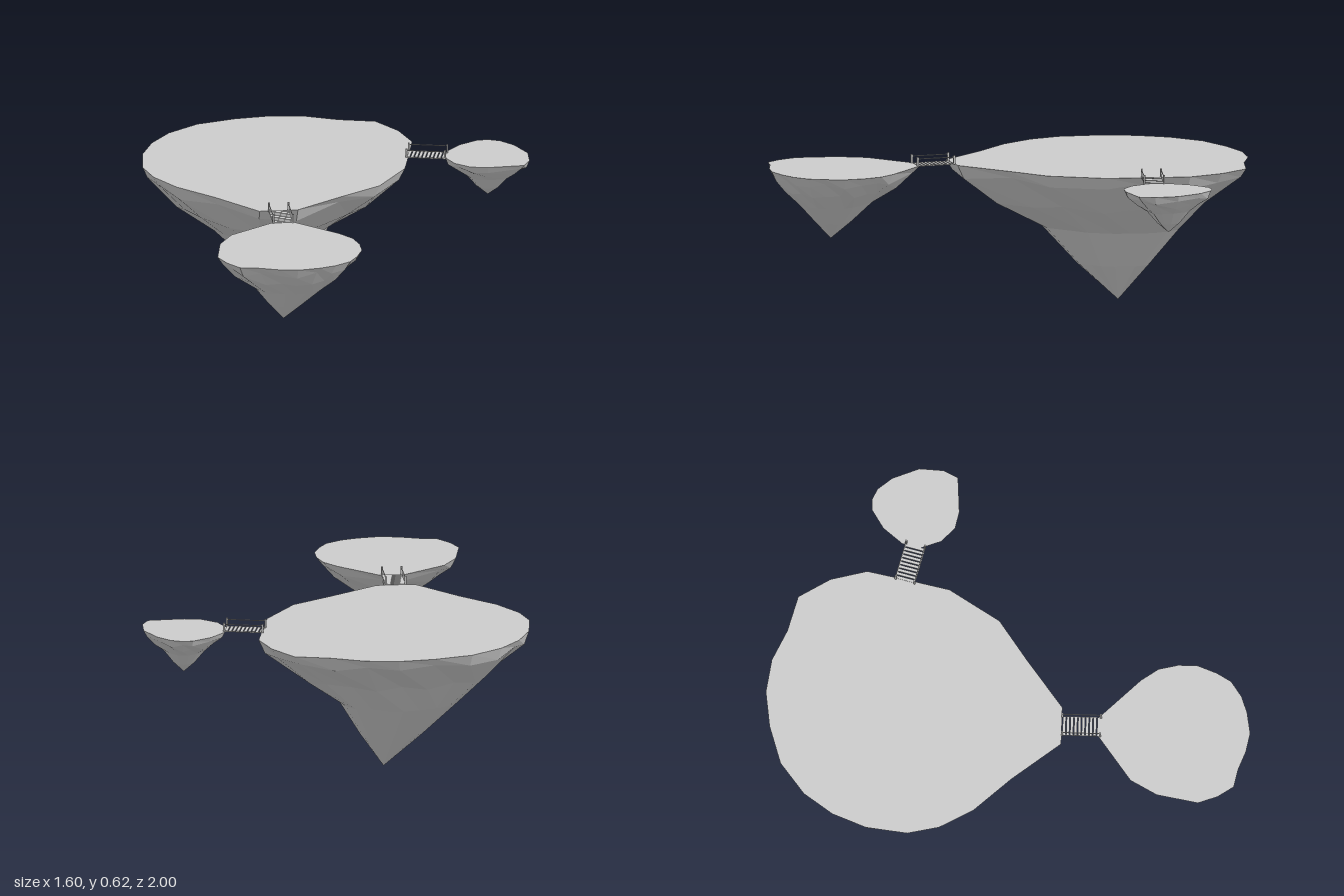
import * as THREE from 'three';

const TOP = 0.585;
const stone = new THREE.MeshStandardMaterial({ color: 0xcccccc, flatShading: true, side: THREE.DoubleSide });
const wood = new THREE.MeshStandardMaterial({ color: 0xcccccc, flatShading: true });

// Floating rock: flat outline [x, z] on top, shrinking rings [y, scale, shiftX, shiftZ, jitter], then a point
function island(name, outline, apex, rings) {
  const [ax, ay, az] = apex, n = outline.length;
  const loops = [outline.map(([x, z]) => [x, TOP, z])];
  rings.forEach(([y, s, dx, dz, jitter = 0], k) => loops.push(outline.map(([x, z], i) => [
    ax + (x - ax) * s + dx,
    y + jitter * Math.sin(i * 2.3 + k * 1.7),
    az + (z - az) * s + dz,
  ])));
  const pos = [];
  const tri = (...corners) => corners.forEach((c) => pos.push(...c));
  const last = loops[loops.length - 1];
  for (let i = 0; i < n; i++) {
    const j = (i + 1) % n;
    tri([ax, TOP, az], loops[0][j], loops[0][i]);
    for (let k = 0; k + 1 < loops.length; k++) {
      const a = loops[k], b = loops[k + 1];
      tri(a[i], a[j], b[i]);
      tri(a[j], b[j], b[i]);
    }
    tri(last[i], last[j], apex);
  }
  const geo = new THREE.BufferGeometry();
  geo.setAttribute('position', new THREE.Float32BufferAttribute(pos, 3));
  geo.computeVertexNormals();
  const mesh = new THREE.Mesh(geo, stone);
  mesh.name = name;
  return mesh;
}

// Plank bridge with corner posts and hand rails, from one [x, z] to another
function bridge(name, from, to, planks) {
  const group = new THREE.Group();
  group.name = name;
  const dx = to[0] - from[0], dz = to[1] - from[1], length = Math.hypot(dx, dz), width = 0.08;
  const box = (part, w, h, d, x, y, z) => {
    const mesh = new THREE.Mesh(new THREE.BoxGeometry(w, h, d), wood);
    mesh.name = part;
    mesh.position.set(x, y, z);
    group.add(mesh);
  };
  const step = length / planks;
  for (let i = 0; i < planks; i++) {
    box('plank', width, 0.004, step * 0.75, 0, 0, (i + 0.5) * step - length / 2);
  }
  for (const side of [-1, 1]) {
    const x = side * width / 2;
    box('handRail', 0.003, 0.003, length, x, 0.029, 0);
    box('deckRope', 0.003, 0.003, length, x, -0.001, 0);
    for (const end of [-1, 1]) box('post', 0.007, 0.038, 0.007, x, 0.017, end * length / 2);
  }
  group.position.set((from[0] + to[0]) / 2, TOP, (from[1] + to[1]) / 2);
  group.rotation.y = Math.atan2(dx, dz);
  return group;
}

export function createModel() {
  const model = new THREE.Group();
  model.name = 'floatingIslands';

  model.add(island('mainIsland', [
    [-0.2, -1], [-0.06, -0.98], [0.07, -0.92], [0.22, -0.88], [0.3, -0.75], [0.34, -0.6], [0.3, -0.4],
    [0.27, -0.26], [0.14, -0.05], [-0.03, 0.07], [-0.23, 0.22], [-0.39, 0.22], [-0.55, 0.02],
    [-0.69, -0.13], [-0.77, -0.27], [-0.8, -0.4], [-0.78, -0.57], [-0.725, -0.71], [-0.64, -0.83],
    [-0.51, -0.93], [-0.35, -0.98],
  ], [-0.19, 0, -0.46], [
    [0.54, 0.96, -0.005, 0, 0.015], [0.42, 0.72, -0.03, 0.015, 0.012],
    [0.3, 0.455, -0.05, -0.025], [0.15, 0.24, -0.025, -0.007],
  ]));

  model.add(island('frontIsland', [
    [-0.35, 0.37], [-0.27, 0.37], [-0.1, 0.54], [-0.05, 0.61], [-0.03, 0.69], [-0.03, 0.77],
    [-0.06, 0.85], [-0.095, 0.91], [-0.16, 0.955], [-0.23, 0.98], [-0.32, 0.995], [-0.4, 0.98],
    [-0.48, 0.95], [-0.555, 0.935], [-0.6, 0.87], [-0.63, 0.79], [-0.6, 0.62], [-0.54, 0.51],
  ], [-0.35, 0.29, 0.73], [
    [0.55, 0.92, 0, 0, 0.01], [0.5, 0.75, 0.005, 0.008, 0.006],
    [0.44, 0.49, 0.015, 0.015], [0.36, 0.24, 0.005, 0.005],
  ]));

  model.add(island('smallIsland', [
    [0.61, -0.59], [0.655, -0.59], [0.7, -0.57], [0.75, -0.51], [0.795, -0.4], [0.79, -0.3],
    [0.76, -0.24], [0.61, -0.23], [0.54, -0.245], [0.48, -0.3], [0.45, -0.38], [0.465, -0.46], [0.53, -0.54],
  ], [0.63, 0.41, -0.41], [
    [0.56, 0.93, 0, 0, 0.008], [0.53, 0.72, 0, 0, 0.005], [0.5, 0.5, 0, 0], [0.45, 0.26, 0, 0],
  ]));

  model.add(bridge('frontBridge', [-0.31, 0.222], [-0.31, 0.38], 10));
  model.add(bridge('sideBridge', [0.302, -0.443], [0.457, -0.405], 10));
  return model;
}
